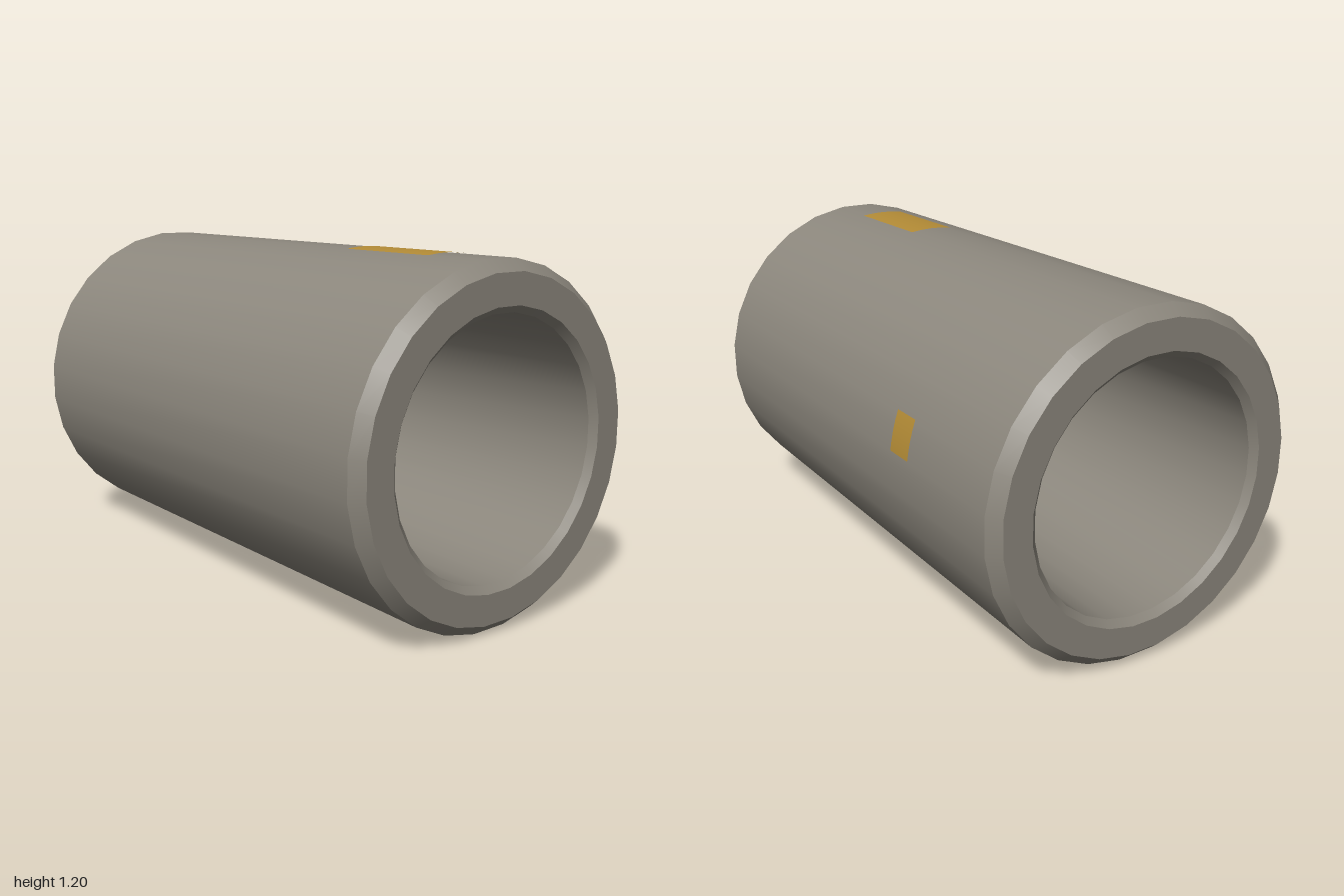
import * as THREE from 'three';
import { mergeGeometries } from 'three/addons/utils/BufferGeometryUtils.js';

const SIDES = 28;
const STEP = (Math.PI * 2) / SIDES;
const deg = THREE.MathUtils.degToRad;

// Hollow tube with chamfered rims: one lathe per band keeps the rims crisp
function tubeGeometry() {
  const profile = [
    [0.599, -0.96], [0.599, 0.96], [0.561, 1], [0.457, 1], [0.434, 0.977],
    [0.434, -0.977], [0.457, -1], [0.561, -1],
  ].map(([r, y]) => new THREE.Vector2(r, y));
  const bands = profile.map((p, i) =>
    new THREE.LatheGeometry([p, profile[(i + 1) % profile.length]], SIDES, STEP / 2));
  return mergeGeometries(bands).rotateX(Math.PI / 2);
}

// Thin curved marker on the tube; angles in degrees, measured up from +x
function marker(name, from, to, z0, z1, material) {
  const geometry = new THREE.CylinderGeometry(0.602, 0.602, z1 - z0, 4, 1, true,
    Math.PI / 2 + deg(from), deg(to - from));
  geometry.rotateX(Math.PI / 2).translate(0, 0, (z0 + z1) / 2);
  const mesh = new THREE.Mesh(geometry, material);
  mesh.name = name;
  return mesh;
}

export function createModel() {
  const group = new THREE.Group();
  group.name = 'sleeve';

  const tube = new THREE.Mesh(tubeGeometry(), new THREE.MeshStandardMaterial({ color: 0x8c877d }));
  tube.name = 'tube';

  const amber = new THREE.MeshStandardMaterial({ color: 0xb48c36, side: THREE.DoubleSide });
  group.add(
    tube,
    marker('topMarker', 81.9, 98.1, 0.33, 0.73, amber),
    marker('sideMarker', 6.95, 20.2, -0.52, -0.41, amber),
  );
  group.children.forEach((part) => part.position.set(-0.003, 0.597, 0));
  return group;
}
